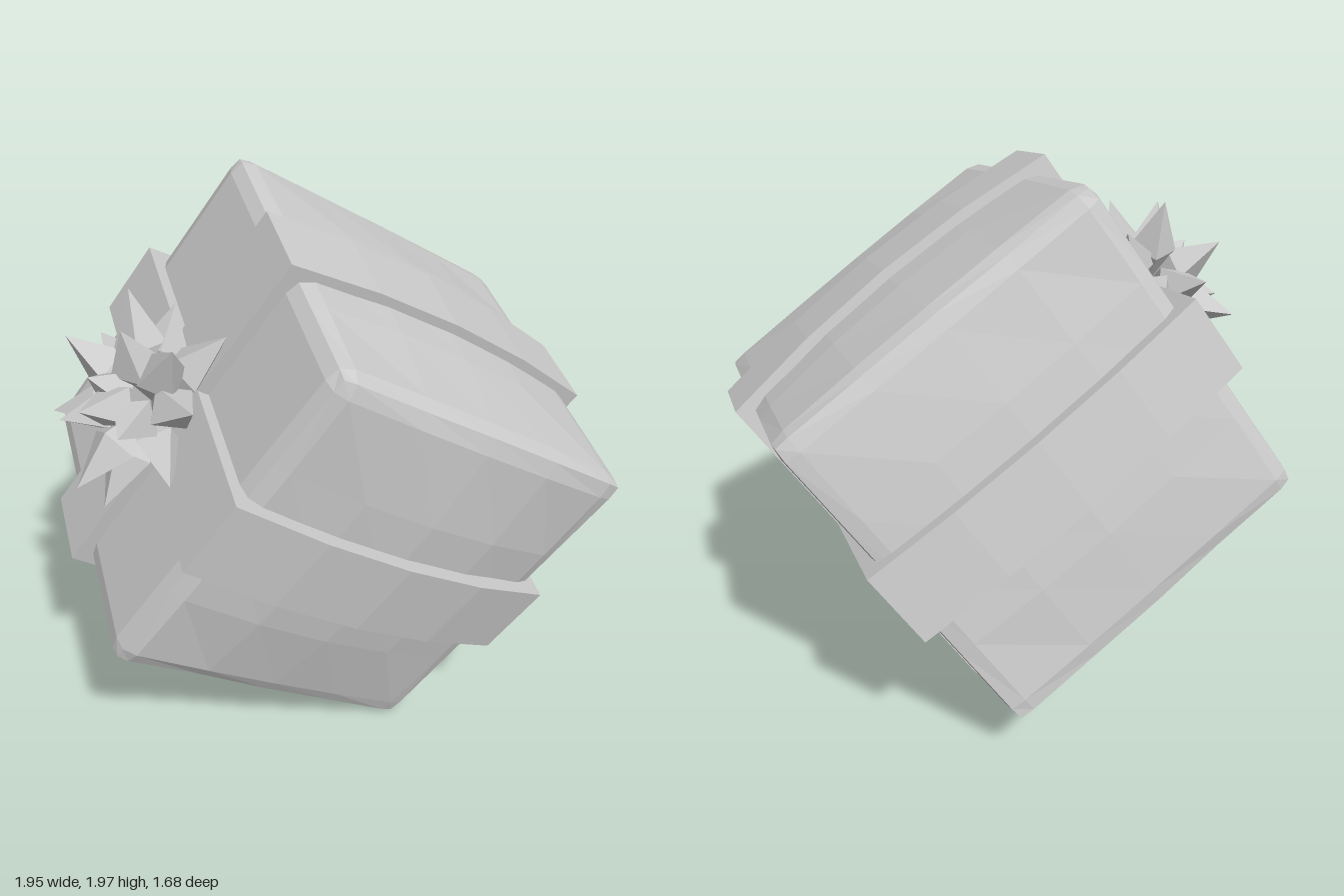
import * as THREE from 'three';

const HX = 0.66, HY = 0.637, HZ = 0.633; // half sizes of the box
const BULGE_X = [0.05, 0.03];            // puff of the +x and -x sides
const BULGE_Z = [0.07, 0.05];            // puff of the +z and -z sides
const mat = new THREE.MeshStandardMaterial({ color: 0xcccccc, flatShading: true });

function part(name, geometry) {
  const mesh = new THREE.Mesh(geometry, mat);
  mesh.name = name;
  return mesh;
}

// Box with bevelled edges and puffed sides; top and bottom stay flat
function boxGeometry() {
  const steps = [-1, -0.9, -0.45, 0, 0.45, 0.9, 1];
  const snap = (v) => steps[Math.round((v + 1) * 3)];
  const g = new THREE.BoxGeometry(2, 2, 2, 6, 6, 6);
  const pos = g.attributes.position;
  const p = new THREE.Vector3(), q = new THREE.Vector3(), half = new THREE.Vector3(HX, HY, HZ);
  for (let i = 0; i < pos.count; i++) {
    const n = new THREE.Vector3(snap(pos.getX(i)), snap(pos.getY(i)), snap(pos.getZ(i)));
    p.copy(n).multiply(half);
    const r = n.y > 0 ? 0.05 : 0.03; // wider bevel at the top
    const inner = half.clone().subScalar(r);
    q.copy(p).clamp(inner.clone().negate(), inner);
    p.sub(q);
    if (p.length() > 0) p.setLength(Math.min(p.length(), r));
    p.add(q);
    const fx = 1 - n.x * n.x, fy = 1 - n.y * n.y, fz = 1 - n.z * n.z;
    if (Math.abs(n.x) === 1) p.x += n.x * BULGE_X[n.x > 0 ? 0 : 1] * fy * fz;
    if (Math.abs(n.z) === 1) p.z += n.z * BULGE_Z[n.z > 0 ? 0 : 1] * fx * fy;
    pos.setXYZ(i, p.x, p.y, p.z);
  }
  g.computeVertexNormals();
  return g;
}

// Outline of a ribbon loop that follows the puffed sides, t away from the box
function loopPoints(h, [plus, minus], t) {
  const ks = [-1, -0.5, 0, 0.5, 1];
  const side = (sign, bulge) => ks.map((k) =>
    new THREE.Vector2(sign * (h + t + bulge * (1 - k * k)), k * (HY + t)));
  return [...side(1, plus), ...side(-1, minus).reverse()];
}

function ribbonGeometry(h, bulges, width) {
  const shape = new THREE.Shape(loopPoints(h, bulges, 0.045));
  shape.holes.push(new THREE.Path(loopPoints(h, bulges, -0.03)));
  return new THREE.ExtrudeGeometry(shape, { depth: width, bevelEnabled: false }).translate(0, 0, -width / 2);
}

// Bow made of rings of fat four-sided points
function createBow() {
  const bow = new THREE.Group();
  bow.name = 'bow';
  const up = new THREE.Vector3(0, 1, 0);
  const rings = [ // count, elevation, length, turn
    [8, 0.0, 0.36, 0.2],
    [6, 0.5, 0.36, 0.5],
    [4, 0.95, 0.33, 0.1],
    [1, 1.5, 0.29, 0.9],
  ];
  rings.forEach(([count, elevation, length, turn]) => {
    for (let i = 0; i < count; i++) {
      const a = turn + (i / count) * Math.PI * 2;
      const e = elevation + (i % 2 ? 0.1 : -0.1);
      const len = length * (1 + 0.07 * Math.sin(i * 2.3 + turn * 5));
      const profile = [[0, 0], [0.088, len * 0.5], [0, len]].map(([x, y]) => new THREE.Vector2(x, y));
      const spike = part('bowPoint', new THREE.LatheGeometry(profile, 4));
      const dir = new THREE.Vector3(Math.cos(a) * Math.cos(e), Math.sin(e), Math.sin(a) * Math.cos(e));
      spike.quaternion.setFromUnitVectors(up, dir);
      bow.add(spike);
    }
  });
  bow.position.set(-0.01, HY + 0.1, 0.05);
  return bow;
}

export function createModel() {
  const gift = new THREE.Group();
  gift.name = 'giftBox';
  gift.add(part('box', boxGeometry()));

  // Two ribbon loops crossing on the top and the bottom
  gift.add(part('ribbonAcross', ribbonGeometry(HX - 0.015, BULGE_X, 0.3)));
  const along = part('ribbonAlong', ribbonGeometry(HZ, BULGE_Z, 0.3));
  along.rotation.y = -Math.PI / 2;
  gift.add(along);
  gift.add(createBow());

  // Tumbled pose, resting on one corner
  const x = new THREE.Vector3(0.573, 0.816, 0.066).normalize();
  const z = x.clone().cross(new THREE.Vector3(-0.79, 0.557, 0.257)).normalize();
  const y = z.clone().cross(x);
  gift.quaternion.setFromRotationMatrix(new THREE.Matrix4().makeBasis(x, y, z));
  gift.position.set(-0.005, 1.005, -0.015);

  const model = new THREE.Group();
  model.name = 'tumbledGift';
  model.add(gift);
  return model;
}
